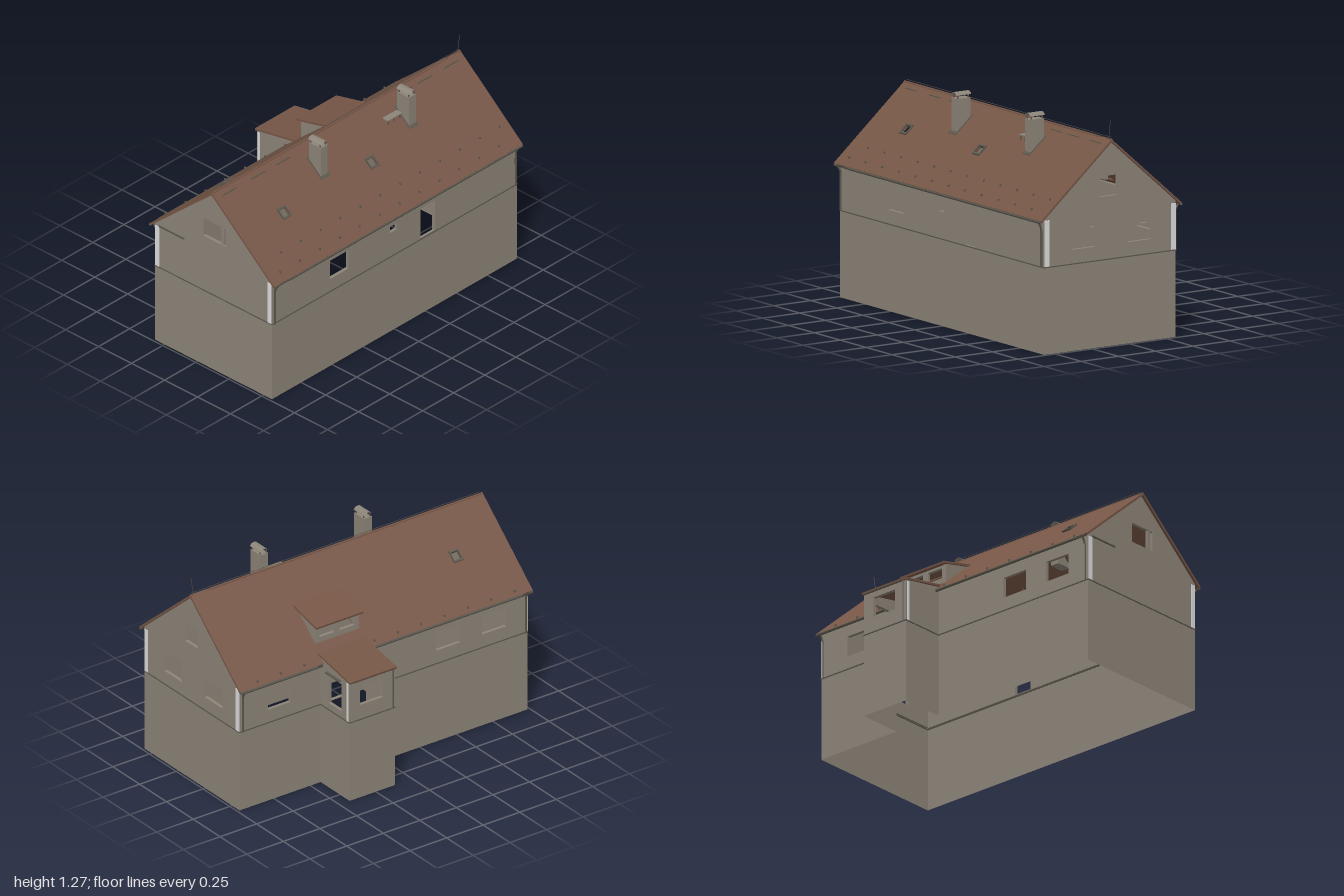
import * as THREE from 'three';

const mat = (name, color, side = THREE.DoubleSide) => {
  const m = new THREE.MeshStandardMaterial({ color, side });
  m.name = name;
  return m;
};

export function createModel() {
  const house = new THREE.Group();
  house.name = 'house';
  const plaster = mat('plaster', 0x8c8478);
  const tile = mat('roof tile', 0x765646);
  const metal = mat('dark metal', 0x5c584e);
  const pale = mat('pale trim', 0xdcdcde);

  const add = (name, geo, m, x = 0, y = 0, z = 0) => {
    const mesh = new THREE.Mesh(geo, m);
    mesh.name = name;
    mesh.position.set(x, y, z);
    house.add(mesh);
    return mesh;
  };
  const box = (name, m, x0, x1, y0, y1, z0, z1) =>
    add(name, new THREE.BoxGeometry(x1 - x0, y1 - y0, z1 - z0), m, (x0 + x1) / 2, (y0 + y1) / 2, (z0 + z1) / 2);
  const tube = (name, pts, r, m = metal) =>
    add(name, new THREE.TubeGeometry(new THREE.CatmullRomCurve3(pts.map(p => new THREE.Vector3(...p)), false, 'catmullrom', 0.1), 14, r, 6), m);
  const outline = (pts, holes = []) => {
    const s = new THREE.Shape(pts.map(p => new THREE.Vector2(...p)));
    for (const [a, b, c, d] of holes) {
      s.holes.push(new THREE.Path([[a, c], [a, d], [b, d], [b, c]].map(p => new THREE.Vector2(...p))));
    }
    return s;
  };
  const extrude = (s, depth) => new THREE.ExtrudeGeometry(s, { depth, bevelEnabled: false });

  // Walls facing z use (x, y) outlines; walls facing x use (z, y) outlines
  const T = 0.02;
  const wallZ = (name, pts, holes, z) => add(name, extrude(outline(pts, holes), T), plaster, 0, 0, z);
  const wallX = (name, pts, holes, x) => {
    const w = add(name, extrude(outline(pts, holes), T), plaster, x + T, 0, 0);
    w.rotation.y = -Math.PI / 2;
  };
  const rect = (a, b, c, d) => [[a, c], [b, c], [b, d], [a, d]];

  // Sloping slab from low edge to high edge, with openings given as [x0, x1, z0, z1]
  const slab = (name, m, [ex, ey], [rx, ry], z0, z1, holes = [], thick = 0.012, lift = 0) => {
    const L = Math.hypot(rx - ex, ry - ey), a = (rx - ex) / L, b = (ry - ey) / L, s = Math.sign(a);
    const cut = holes.map(([x0, x1, h0, h1]) => {
      const v = [(x0 - ex) / a, (x1 - ex) / a].sort((p, q) => p - q);
      const u = [s * h0, s * h1].sort((p, q) => p - q);
      return [u[0], u[1], v[0], v[1]];
    });
    const u = [s * z0, s * z1].sort((p, q) => p - q);
    const geo = extrude(outline(rect(u[0], u[1], 0, L), cut), thick);
    const n = new THREE.Vector3(-b * s, a * s, 0);
    geo.applyMatrix4(new THREE.Matrix4().makeBasis(new THREE.Vector3(0, 0, s), new THREE.Vector3(a, b, 0), n));
    const off = lift - thick;
    return add(name, geo, m, ex + n.x * off, ey + n.y * off, 0);
  };

  const eaveL = [-0.35, 0.757], eaveR = [0.597, 0.757], ridge = [0.12, 1.165];
  const roofY = x => x < ridge[0]
    ? eaveL[1] + (x - eaveL[0]) * (ridge[1] - eaveL[1]) / (ridge[0] - eaveL[0])
    : eaveR[1] + (eaveR[0] - x) * (ridge[1] - eaveR[1]) / (eaveR[0] - ridge[0]);

  // Tall base: open footprint with the porch bay, plus a thin ledge on top
  const foot = [[-0.32, 0.985], [0.565, 0.985], [0.565, -0.985], [-0.32, -0.985],
    [-0.32, -0.43], [-0.59, -0.43], [-0.59, -0.12], [-0.32, -0.12]];
  foot.forEach(([x, z], i) => {
    const [x2, z2] = foot[(i + 1) % foot.length];
    const len = Math.hypot(x2 - x, z2 - z);
    const w = add('baseWall', new THREE.PlaneGeometry(len, 0.49), plaster, (x + x2) / 2, 0.245, (z + z2) / 2);
    w.rotation.y = Math.atan2(-(z2 - z), x2 - x);
    const l = add('ledge', new THREE.BoxGeometry(len, 0.006, 0.008), metal, (x + x2) / 2, 0.49, (z + z2) / 2);
    l.rotation.y = w.rotation.y;
  });

  // Upper walls with window and door openings
  const gable = [[-0.32, 0.49], [0.565, 0.49], [0.565, 0.772], [0.12, 1.149], [-0.32, 0.77]];
  wallZ('frontGable', gable, [[0.045, 0.215, 0.845, 0.96]], 0.965);
  wallZ('backGable', gable, [[0.07, 0.185, 0.845, 0.96], [0.22, 0.38, 0.57, 0.69], [-0.16, 0.005, 0.57, 0.69]], -0.985);
  wallX('rightWall', rect(-0.985, 0.985, 0.488, 0.766),
    [[0.37, 0.52, 0.57, 0.69], [-0.02, 0.035, 0.645, 0.685], [-0.325, -0.21, 0.492, 0.69]], 0.545);
  wallX('leftWall', rect(-0.985, 0.985, 0.488, 0.766),
    [[0.36, 0.525, 0.57, 0.69], [0.675, 0.84, 0.57, 0.69], [-0.79, -0.635, 0.57, 0.69], [-0.37, -0.17, 0.492, 0.71]], -0.32);
  box('gableMullion', plaster, 0.178, 0.198, 0.845, 0.96, 0.965, 0.98);
  box('frontBeam', metal, -0.29, -0.1, 0.757, 0.765, 0.98, 0.992);

  // Porch bay
  const side = [[-0.59, 0.488], [-0.32, 0.488], [-0.32, 0.784], [-0.59, 0.735]];
  wallZ('porchBackWall', side, [[-0.515, -0.395, 0.53, 0.7]], -0.43);
  wallZ('porchFrontWall', side, [], -0.14);
  wallX('porchOuterWall', rect(-0.43, -0.12, 0.488, 0.735), [[-0.36, -0.2, 0.58, 0.7]], -0.59);
  box('porchCanopy', metal, -0.51, -0.38, 0.715, 0.722, -0.445, -0.43);
  slab('porchRoof', tile, [-0.602, 0.747], [-0.275, 0.808], -0.435, -0.115);

  // Pale corner strips on the gables and porch
  for (const z of [0.985, -0.989]) {
    box('cornerStrip', pale, -0.318, -0.288, 0.494, 0.755, z, z + 0.004);
    box('cornerStrip', pale, 0.533, 0.563, 0.494, 0.755, z, z + 0.004);
  }
  box('porchStrip', pale, -0.582, -0.566, 0.494, 0.73, -0.12, -0.116);
  box('porchStrip', pale, -0.582, -0.566, 0.494, 0.73, -0.434, -0.43);

  // Main roof with skylights
  const lights = [[-0.1, 0.655], [0.345, 0.655], [0.345, -0.05]];
  const opening = ([x, z]) => [x - 0.018, x + 0.018, z - 0.025, z + 0.025];
  slab('leftRoof', tile, eaveL, ridge, -1, 1, [opening(lights[0]), [-0.24, -0.1, -0.4, -0.14]]);
  slab('rightRoof', tile, eaveR, ridge, -1, 1, [opening(lights[1]), opening(lights[2])]);
  for (const [x, z] of lights) {
    const lo = x < ridge[0] ? x - 0.027 : x + 0.027, hi = 2 * x - lo;
    slab('skylightFrame', metal, [lo, roofY(lo)], [hi, roofY(hi)], z - 0.032, z + 0.032, [opening([x, z])], 0.012, 0.01);
  }
  tube('ridgeCap', [[0.12, 1.16, -1], [0.12, 1.16, 1]], 0.008, tile);

  // Shed dormer
  wallX('dormerFront', rect(-0.42, -0.12, 0.8, 0.945), [[-0.39, -0.29, 0.87, 0.93], [-0.255, -0.15, 0.87, 0.93]], -0.257);
  for (const z of [-0.42, -0.14]) {
    wallZ('dormerCheek', [[-0.255, 0.83], [-0.255, 0.948], [-0.08, 0.99]], [], z);
  }
  slab('dormerRoof', tile, [-0.286, 0.953], [-0.06, 1.008], -0.435, -0.11);

  // Chimneys with curved caps on posts
  for (const z of [0.275, -0.435]) {
    box('chimney', plaster, 0.2, 0.292, 0.98, 1.205, z - 0.027, z + 0.027);
    for (const x of [0.21, 0.282]) for (const dz of [-0.02, 0.02]) {
      box('capPost', metal, x - 0.003, x + 0.003, 1.2, 1.228, z + dz - 0.003, z + dz + 0.003);
    }
    const cap = add('chimneyCap', new THREE.CylinderGeometry(0.031, 0.031, 0.1, 12, 1, true, Math.PI / 2 - 1.1, 2.2), plaster, 0.246, 1.209, z);
    cap.rotation.z = Math.PI / 2;
    slab('flashing', metal, [0.305, roofY(0.305)], [0.19, roofY(0.19)], z - 0.035, z + 0.035, [], 0.004, 0.003);
  }

  // Roof step beside the rear chimney
  box('roofStep', plaster, 0.202, 0.248, 1.086, 1.092, -0.4, -0.285);
  for (const z of [-0.385, -0.34, -0.295]) box('stepBracket', metal, 0.238, 0.244, 1.045, 1.088, z - 0.003, z + 0.003);

  // Gutters and downpipes
  tube('leftGutter', [[-0.35, 0.748, 0.995], [-0.35, 0.748, -0.11]], 0.009);
  tube('leftGutter', [[-0.35, 0.748, -0.44], [-0.35, 0.748, -0.995]], 0.009);
  tube('rightGutter', [[0.593, 0.748, 0.995], [0.593, 0.748, -0.995]], 0.009);
  tube('porchGutter', [[-0.594, 0.738, -0.43], [-0.594, 0.738, -0.12]], 0.007);
  for (const z of [0.968, -0.968]) {
    tube('downpipe', [[-0.348, 0.745, z], [-0.329, 0.71, z], [-0.329, 0.49, z]], 0.006);
    tube('downpipe', [[0.592, 0.745, z], [0.573, 0.71, z], [0.573, 0.49, z]], 0.006);
  }
  tube('downpipe', [[-0.596, 0.735, -0.135], [-0.595, 0.7, -0.135], [-0.595, 0.49, -0.135]], 0.005);

  // Snow hooks in two staggered rows on each slope
  for (let i = 0; i < 12; i++) for (const [x, shift] of [[0.485, 0], [0.555, 0.08], [-0.33, 0.06]]) {
    const z = -0.93 + i * 0.16 + shift;
    if (x < 0 && z > -0.46 && z < -0.09) continue;
    if (z < 0.98) box('snowHook', metal, x - 0.005, x + 0.005, roofY(x) - 0.002, roofY(x) + 0.01, z - 0.004, z + 0.004);
  }

  // Snow bars below the ridge, ridge wire and lightning rod
  for (const z of [0.89, 0.66, 0.46, -0.52, -0.68, -0.89]) {
    box('ridgeBar', metal, 0.148, 0.156, 1.131, 1.139, z - 0.055, z + 0.055);
  }
  tube('ridgeWire', [[0.12, 1.176, -0.99], [0.12, 1.176, 0.98]], 0.0015);
  tube('lightningRod', [[0.124, 1.16, -0.975], [0.124, 1.27, -0.992]], 0.0015);
  return house;
}
